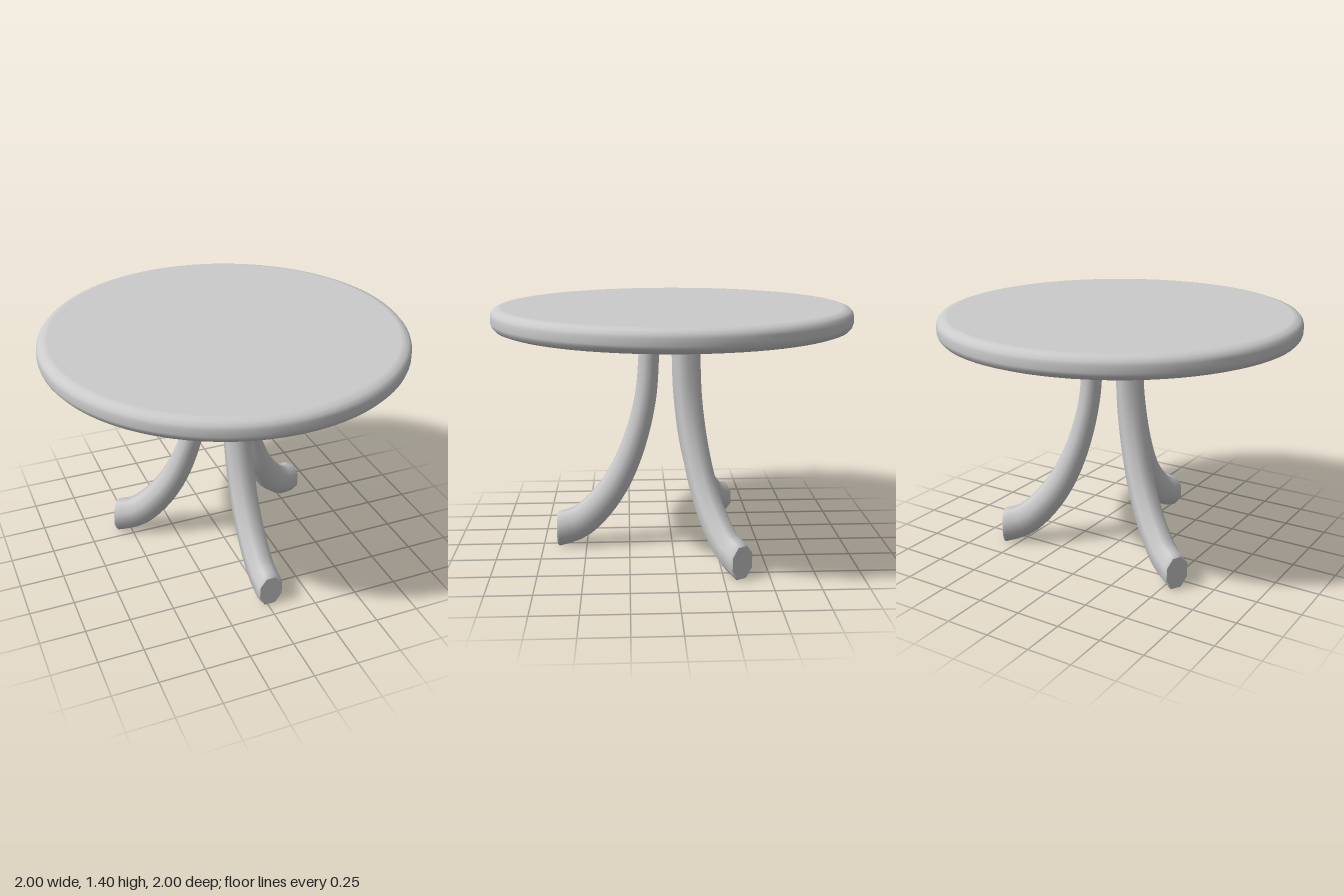
import * as THREE from 'three';

const material = new THREE.MeshStandardMaterial({ color: 0xcccccc });

// Turned disc from a bottom-to-top profile of [radius, y]
function turned(name, profile) {
  const points = profile.map(([r, y]) => new THREE.Vector2(r, y));
  const mesh = new THREE.Mesh(new THREE.LatheGeometry(points, 80), material);
  mesh.name = name;
  return mesh;
}

// Curved leg: an eight-sided oval section swept outward along +z, growing deeper towards the foot
function legGeometry() {
  const SIDES = 8, STEPS = 28;
  const curve = new THREE.CatmullRomCurve3([
    [0.137, 1.25], [0.14, 1.12], [0.16, 0.88], [0.228, 0.61], [0.32, 0.40],
    [0.43, 0.245], [0.55, 0.14], [0.665, 0.102],
  ].map(([z, y]) => new THREE.Vector3(0, y, z)));
  const positions = [], index = [];

  const addRing = (centre, tangent, halfWidth, halfDepth) => {
    // Section plane: x across, and the in-plane normal of the curve
    const up = new THREE.Vector3(0, tangent.z, -tangent.y);
    const k = 1 / Math.cos(Math.PI / SIDES);
    for (let i = 0; i < SIDES; i++) {
      const a = ((i + 0.5) / SIDES) * Math.PI * 2;
      const d = Math.sin(a) * halfDepth * k;
      positions.push(Math.cos(a) * halfWidth * k, centre.y + up.y * d, centre.z + up.z * d);
    }
  };

  for (let s = 0; s <= STEPS; s++) {
    const t = s / STEPS;
    const tangent = curve.getPointAt(t).clone() && curve.getTangentAt(t);
    // Foot face stands upright
    if (s === STEPS) tangent.set(0, 0, 1);
    addRing(curve.getPointAt(t), tangent, 0.072, THREE.MathUtils.lerp(0.057, 0.097, t * t));
  }
  // Small bevel at the foot
  const end = new THREE.Vector3(0, 0.102, 0.677);
  const forward = new THREE.Vector3(0, 0, 1);
  addRing(end, forward, 0.064, 0.088);

  for (let s = 0; s <= STEPS; s++) {
    for (let i = 0; i < SIDES; i++) {
      const a = s * SIDES + i, b = s * SIDES + ((i + 1) % SIDES);
      index.push(a, b, b + SIDES, a, b + SIDES, a + SIDES);
    }
  }
  // Flat foot cap on its own vertices
  const cap = positions.length / 3;
  addRing(end, forward, 0.064, 0.088);
  for (let i = 1; i < SIDES - 1; i++) index.push(cap, cap + i, cap + i + 1);

  const geometry = new THREE.BufferGeometry();
  geometry.setAttribute('position', new THREE.Float32BufferAttribute(positions, 3));
  geometry.setIndex(index);
  geometry.computeVertexNormals();
  return geometry;
}

export function createModel() {
  const table = new THREE.Group();
  table.name = 'roundTable';

  // Top with softly rounded rim
  table.add(turned('tableTop', [
    [0, 1.28], [0.94, 1.28], [0.955, 1.281], [0.98, 1.29], [0.995, 1.308], [1, 1.325],
    [1, 1.36], [0.995, 1.378], [0.98, 1.395], [0.955, 1.404], [0.94, 1.405], [0, 1.405],
  ]));

  // Hub under the top
  table.add(turned('hub', [
    [0, 1.21], [0.25, 1.21], [0.265, 1.211], [0.3, 1.22], [0.325, 1.237], [0.332, 1.255], [0.332, 1.285],
  ]));

  // Three splayed legs
  const geometry = legGeometry();
  const legs = new THREE.Group();
  legs.name = 'legs';
  legs.position.set(0.013, 0, -0.008);
  ['frontLeg', 'leftLeg', 'rightLeg'].forEach((name, i) => {
    const leg = new THREE.Mesh(geometry, material);
    leg.name = name;
    leg.rotation.y = (i * Math.PI * 2) / 3;
    legs.add(leg);
  });
  table.add(legs);
  return table;
}
